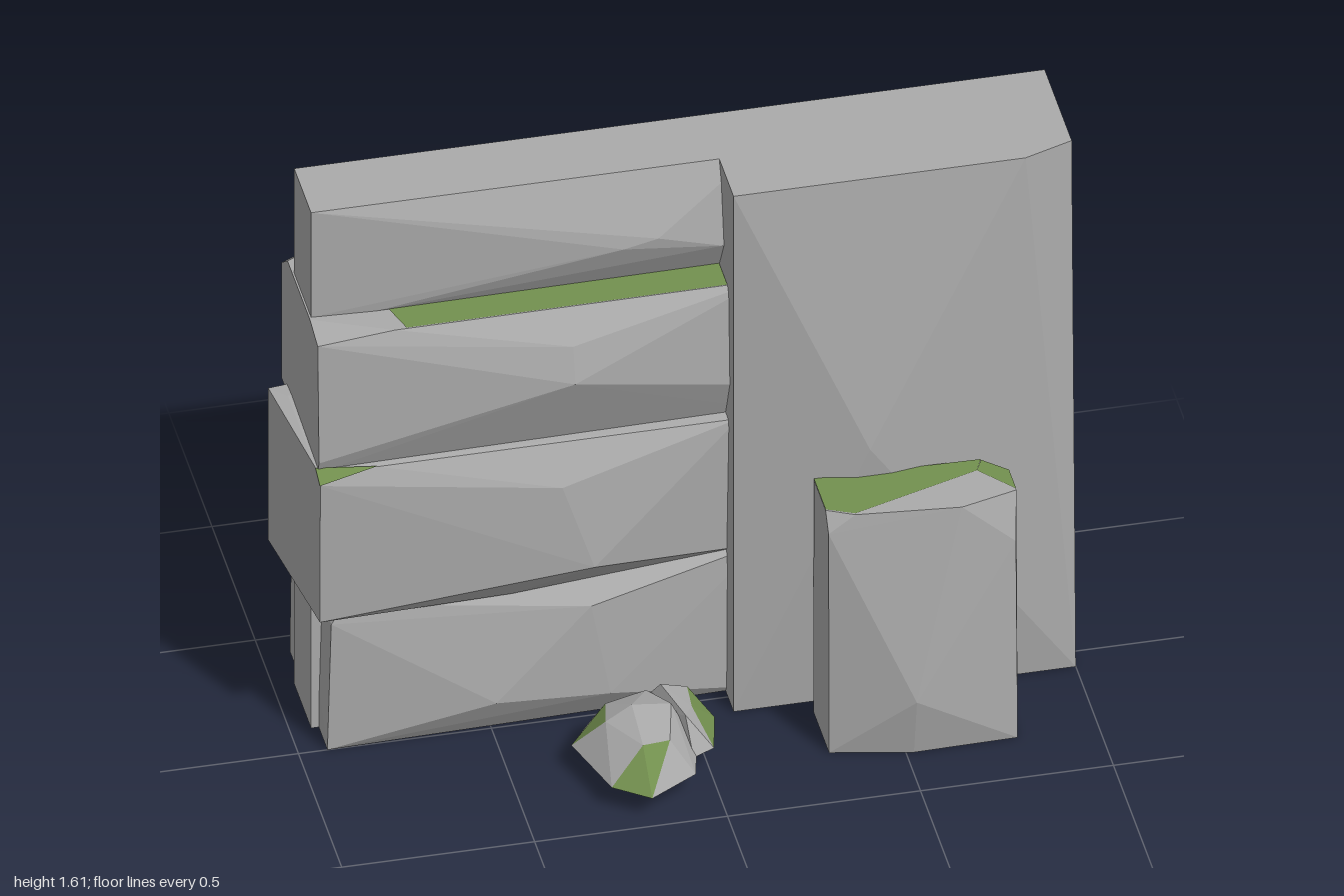
import * as THREE from 'three';
import { ConvexGeometry } from 'three/addons/geometries/ConvexGeometry.js';

const stone = new THREE.MeshStandardMaterial({ color: 0xaaaaaa });
stone.name = 'stone';
const moss = new THREE.MeshStandardMaterial({ color: 0x73904f, side: THREE.DoubleSide });
moss.name = 'moss';

const vec = (p) => new THREE.Vector3(...p);

// Faceted rock; triangles whose centre passes isMoss become mossy
function rock(name, points, isMoss = () => false) {
  const geo = new ConvexGeometry(points.map(vec));
  const pos = geo.attributes.position;
  const c = new THREE.Vector3(), v = new THREE.Vector3();
  for (let i = 0; i < pos.count; i += 3) {
    c.set(0, 0, 0);
    for (let k = 0; k < 3; k++) c.add(v.fromBufferAttribute(pos, i + k));
    geo.addGroup(i, 3, isMoss(c.divideScalar(3)) ? 1 : 0);
  }
  const mesh = new THREE.Mesh(geo, [stone, moss]);
  mesh.name = name;
  return mesh;
}

// Thin moss facet lying on a rock surface
function mossPatch(name, points) {
  const tris = [];
  for (let i = 1; i < points.length - 1; i++) tris.push(...points[0], ...points[i + 1], ...points[i]);
  const geo = new THREE.BufferGeometry();
  geo.setAttribute('position', new THREE.Float32BufferAttribute(tris, 3));
  geo.computeVertexNormals();
  const mesh = new THREE.Mesh(geo, moss);
  mesh.name = name;
  return mesh;
}
// Level patch from [x, z] corners
const level = (name, y, pts) => mossPatch(name, pts.map(([x, z]) => [x, y, z]));

export function createModel() {
  const g = new THREE.Group();
  g.name = 'cliffWall';

  // Backing slab
  const slab = new THREE.Mesh(new THREE.BoxGeometry(1.145, 1.612, 0.195), stone);
  slab.position.set(-0.3725, 0.806, -0.1975);
  slab.name = 'backSlab';
  g.add(slab);

  // Tall pillar on the model's left
  g.add(rock('pillar', [
    [0.113, 0, -0.295], [1, 0, -0.295], [0.113, 1.612, -0.295], [1, 1.612, -0.295],
    [0.113, 0, 0.065], [1, 0, 0.065], [0.113, 1.612, 0.065], [0.87, 1.612, 0.065],
    [1, 1.612, 0.018], [0.45, 0.82, 0.142],
  ]));

  // Four stacked ledges, top to bottom
  g.add(rock('topLedge', [
    [-0.945, 1.285, -0.29], [-0.945, 1.612, -0.29], [0.2, 1.285, -0.29], [0.2, 1.612, -0.29],
    [-0.945, 1.285, -0.1], [-0.945, 1.612, -0.1], [0.2, 1.285, -0.1], [0.2, 1.612, -0.1],
    [-0.78, 1.287, -0.088], [-0.15, 1.42, -0.03], [-0.06, 1.44, -0.03], [0.11, 1.38, -0.045],
  ]));
  g.add(rock('upperLedge', [
    [-0.95, 0.87, -0.42], [-0.95, 1.23, -0.42], [-0.95, 1.285, -0.35], [-0.82, 1.285, -0.42],
    [0.2, 0.87, -0.415], [0.2, 1.25, -0.415], [0.2, 1.285, -0.36], [0.12, 1.285, -0.415],
    [-0.95, 1.285, -0.09], [-0.95, 1.265, 0], [-0.75, 1.285, 0], [0.2, 1.285, -0.005],
    [-0.95, 0.87, 0], [0.2, 0.87, -0.03], [-0.95, 0.91, 0.015], [0.2, 0.97, 0.01],
    [-0.3, 1.1, 0.08], [-0.3, 1.2, 0.055],
  ]));
  g.add(rock('middleLedge', [
    [-1, 0.42, -0.35], [-1, 0.895, -0.35], [0.14, 0.42, -0.485], [0.14, 0.9, -0.485],
    [0.14, 0.42, -0.1], [0.14, 0.87, -0.1], [-0.96, 0.9, -0.3],
    [-0.95, 0.42, 0.025], [-0.95, 0.85, 0.03], [-0.955, 0.885, 0], [-0.8, 0.88, 0.02],
    [-0.45, 0.42, 0.01], [0.14, 0.45, -0.02], [0.14, 0.87, 0.005],
    [-0.25, 0.52, 0.08], [-0.33, 0.77, 0.065],
  ]));
  g.add(rock('bottomLedge', [
    [-0.925, 0, -0.435], [-0.92, 0.42, -0.435], [-0.92, 0.45, -0.4], [-0.8, 0.45, -0.435],
    [0.215, 0, -0.435], [0.215, 0.45, -0.435], [0.215, 0, -0.1], [0.215, 0.45, -0.1],
    [-0.925, 0, 0], [-0.915, 0.39, 0], [-0.88, 0.44, -0.01],
    [0.2, 0, -0.03], [0.2, 0.45, -0.02], [-0.5, 0.12, 0.06], [-0.2, 0.09, 0.04], [-0.25, 0.37, 0.04],
  ]));

  // Moss on the ledges
  g.add(level('upperLedgeMoss', 1.288, [[-0.75, -0.1], [0.112, -0.1], [0.112, -0.003], [-0.72, 0]]));
  g.add(level('upperLedgeBackMoss', 1.288, [[-0.81, -0.415], [-0.58, -0.296], [-0.79, -0.296]]));
  g.add(level('middleLedgeBackMoss', 0.903, [[-0.15, -0.425], [0.14, -0.484], [0.14, -0.455], [0, -0.42]]));
  g.add(mossPatch('middleLedgeFrontMoss', [[-0.952, 0.853, 0.034], [-0.957, 0.889, 0.003], [-0.8, 0.884, 0.023]]));
  g.add(mossPatch('bottomLedgeCornerMoss', [[-0.922, 0.422, -0.438], [-0.922, 0.454, -0.403], [-0.8, 0.454, -0.438]]));
  g.add(level('bottomLedgeEndMoss', 0.453, [[0.1, -0.41], [0.14, -0.435], [0.213, -0.435], [0.213, -0.41]]));

  // Low block standing before the pillar
  g.add(rock('frontBlock', [
    [0.31, 0, 0.11], [0.74, 0, 0.11], [0.8, 0, 0.15], [0.79, 0, 0.33], [0.52, 0, 0.335], [0.31, 0, 0.29],
    [0.31, 0.73, 0.115], [0.74, 0.73, 0.125], [0.8, 0.6, 0.15], [0.8, 0.73, 0.185],
    [0.8, 0.73, 0.27], [0.65, 0.73, 0.312], [0.38, 0.73, 0.285], [0.31, 0.68, 0.285], [0.31, 0.73, 0.25],
    [0.52, 0.18, 0.37], [0.79, 0.6, 0.31],
  ]));
  g.add(level('frontBlockMoss', 0.733, [[0.31, 0.115], [0.74, 0.125], [0.72, 0.17], [0.38, 0.283], [0.31, 0.25]]));
  g.add(level('frontBlockEdgeMoss', 0.733, [[0.72, 0.17], [0.74, 0.128], [0.8, 0.185], [0.8, 0.268]]));

  // Two small stones at the foot
  g.add(rock('largeStone', [
    [-0.34, 0.07, 0.21], [-0.28, 0.07, 0.41], [-0.19, 0.07, 0.478], [-0.06, 0.07, 0.4],
    [-0.03, 0.07, 0.28], [-0.2, 0.07, 0.09], [-0.28, 0.07, 0.13],
    [-0.26, 0.16, 0.25], [-0.24, 0.15, 0.16], [-0.19, 0.195, 0.24], [-0.19, 0.16, 0.37],
    [-0.12, 0.165, 0.37], [-0.09, 0.19, 0.25], [-0.13, 0.16, 0.14],
  ], (c) => (c.y > 0.08 && c.z > 0.39 && c.x < -0.14) || (c.x < -0.27 && c.z < 0.24 && c.y > 0.11)));
  g.add(rock('smallStone', [
    [-0.17, 0.07, 0.1], [-0.01, 0.07, 0.055], [0.04, 0.07, 0.17], [0.01, 0.07, 0.3], [-0.05, 0.07, 0.33],
    [-0.02, 0.14, 0.12], [-0.03, 0.15, 0.22], [-0.06, 0.17, 0.28], [-0.1, 0.195, 0.17],
  ], (c) => c.x > -0.01 && c.z > 0.13 && c.y > 0.08));

  return g;
}
